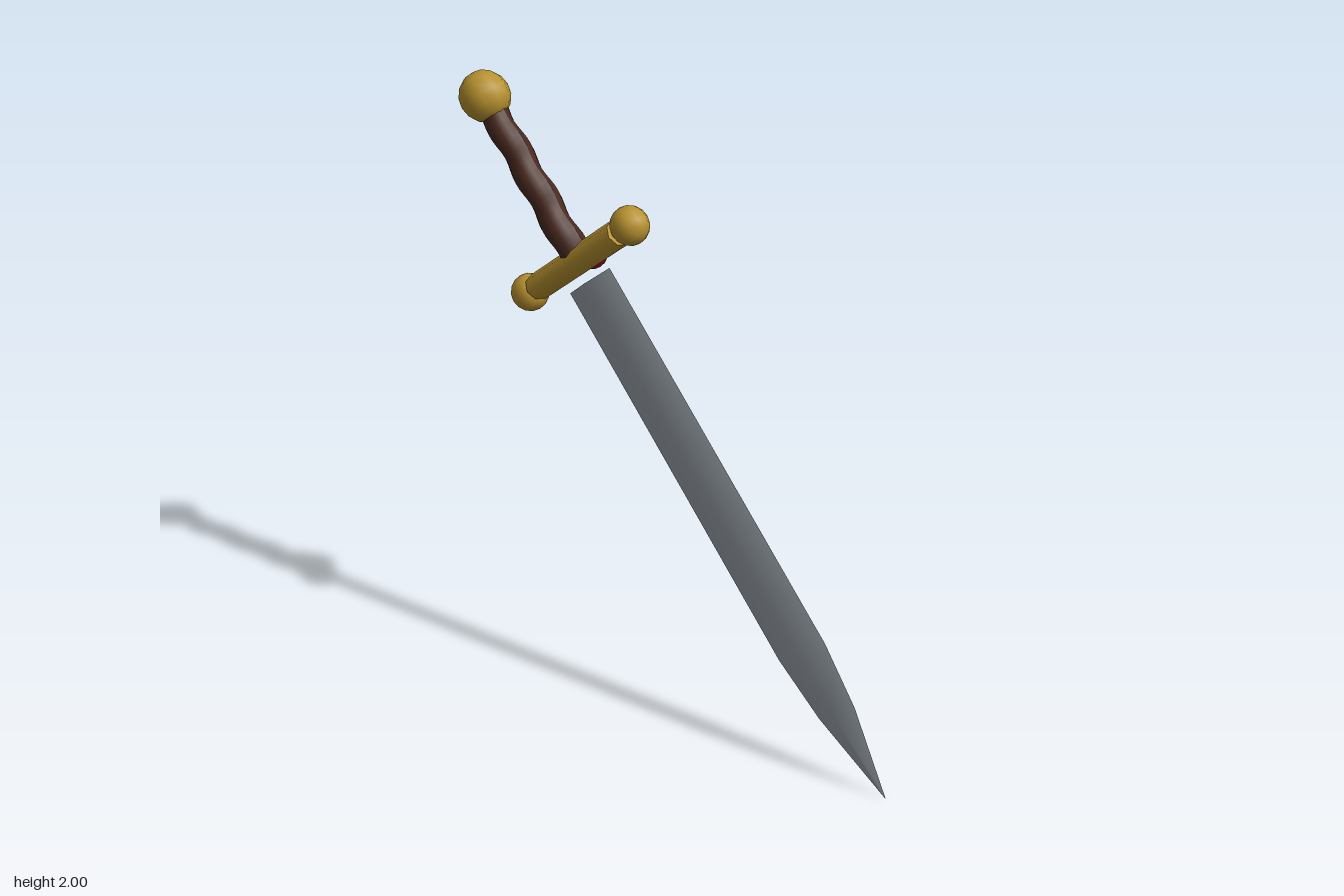
import * as THREE from 'three';

const flat = (name, color) => {
  const m = new THREE.MeshStandardMaterial({ color });
  m.name = name;
  return m;
};

// Blade: diamond section, smooth over the ridge, sharp at both edges; tip at the origin
function bladeGeometry() {
  const rows = [[0, 0.001, 0.001], [0.3, 0.077, 0.018], [0.515, 0.102, 0.024], [1.806, 0.098, 0.025]]; // height, half width, half thickness
  const pos = [], index = [];
  for (const s of [1, -1]) {
    const base = pos.length / 3;
    for (const [y, w, t] of rows) pos.push(0, y, s * w, s * t, y, 0, 0, y, -s * w);
    for (let r = 0; r < rows.length - 1; r++) {
      for (let c = 0; c < 2; c++) {
        const a = base + r * 3 + c;
        index.push(a, a + 1, a + 4, a, a + 4, a + 3);
      }
    }
  }
  // flat end at the guard
  const [y, w, t] = rows[rows.length - 1];
  const n = pos.length / 3;
  pos.push(0, y, w, t, y, 0, 0, y, -w, -t, y, 0);
  index.push(n, n + 1, n + 2, n, n + 2, n + 3);
  const g = new THREE.BufferGeometry();
  g.setAttribute('position', new THREE.Float32BufferAttribute(pos, 3));
  g.setIndex(index);
  g.computeVertexNormals();
  return g;
}

// Grip: a cylinder with a spiral swell and a slight taper
function gripGeometry(length) {
  const g = new THREE.CylinderGeometry(1, 1, length, 12, 24);
  const p = g.attributes.position;
  for (let i = 0; i < p.count; i++) {
    const x = p.getX(i), z = p.getZ(i);
    const u = p.getY(i) / length + 0.5;
    const r = 0.049 - 0.005 * u + 0.005 * Math.cos(Math.atan2(z, x) - u * Math.PI * 6);
    p.setX(i, x * r);
    p.setZ(i, z * r);
  }
  g.computeVertexNormals();
  return g;
}

export function createModel() {
  const steel = flat('steel', 0x9aa2aa);
  const gold = flat('gold', 0xb8922f);
  const leather = flat('brown leather', 0x4a2a20);
  const ruby = flat('ruby', 0xa20d33);

  const sword = new THREE.Group();
  sword.name = 'sword';
  const add = (name, geometry, material, x, y, z) => {
    const m = new THREE.Mesh(geometry, material);
    m.name = name;
    m.position.set(x, y, z);
    sword.add(m);
    return m;
  };

  const guardY = 1.877;
  add('blade', bladeGeometry(), steel, 0, 0, -0.003);

  // Crossguard with a ball on each end
  const bar = new THREE.CylinderGeometry(0.055, 0.055, 0.41, 8);
  bar.rotateX(Math.PI / 2);
  bar.scale(1, 0.78, 1);
  add('crossguard', bar, gold, 0, guardY, 0);
  for (const s of [1, -1]) {
    add(s > 0 ? 'upperGuardBall' : 'lowerGuardBall', new THREE.SphereGeometry(0.06, 10, 8), gold, 0, guardY, s * 0.25);
  }

  add('grip', gripGeometry(0.49), leather, 0, 2.145, 0);
  add('pommel', new THREE.SphereGeometry(0.079, 10, 8), gold, 0, 2.437, 0);

  // Oval gem on the left face of the guard
  const gem = add('gem', new THREE.SphereGeometry(1, 12, 8), ruby, 0.067, guardY, 0);
  gem.scale.set(0.026, 0.048, 0.062);

  // Lean the sword back so it stands on its tip
  sword.rotation.x = -0.663;
  sword.position.set(-0.009, 0.003, 0.79);

  const model = new THREE.Group();
  model.name = 'model';
  model.add(sword);
  return model;
}
